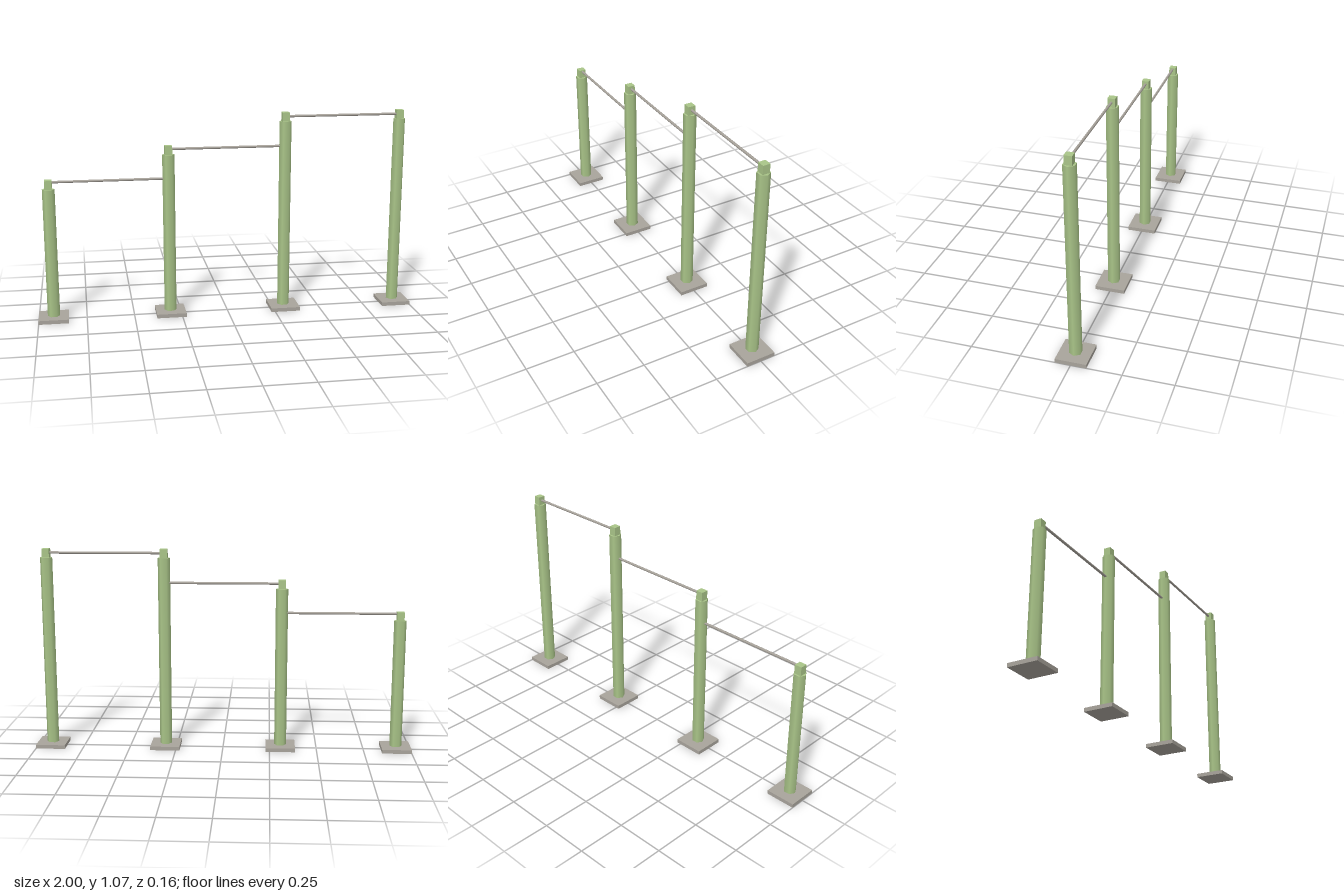
import * as THREE from 'three';

export function createModel() {
  const model = new THREE.Group();
  const green = new THREE.MeshStandardMaterial({ color: 0xa9c488 });
  green.name = 'paleGreen';
  const grey = new THREE.MeshStandardMaterial({ color: 0xa8a39b });
  grey.name = 'warmGrey';

  const baseSize = 0.156, baseHeight = 0.02, postRadius = 0.032, capSize = 0.038;
  const spots = [-0.922, -0.307, 0.307, 0.922];
  const postTops = [0.699, 0.861, 1.019, 1.019];
  const railHeights = [0.735, 0.889, 1.044];

  const add = (parent, name, geometry, material, x, y) => {
    const mesh = new THREE.Mesh(geometry, material);
    mesh.name = name;
    mesh.position.set(x, y, 0);
    parent.add(mesh);
    return mesh;
  };

  // Four uprights: foot plate, six-sided post with corners on +x and -x, square cap
  spots.forEach((x, i) => {
    const upright = new THREE.Group();
    upright.name = `upright${i + 1}`;
    upright.position.x = x;
    model.add(upright);
    const top = postTops[i], height = top - baseHeight, capHeight = 0.046;
    add(upright, 'footPlate', new THREE.BoxGeometry(baseSize, baseHeight, baseSize), grey, 0, baseHeight / 2);
    add(upright, 'post',
      new THREE.CylinderGeometry(postRadius, postRadius, height, 6, 1, false, Math.PI / 2),
      green, 0, baseHeight + height / 2);
    add(upright, 'cap', new THREE.BoxGeometry(capSize, capHeight, capSize), green, 0, top + capHeight / 2);
  });

  // Rails run level from each upright's cap to the next upright
  railHeights.forEach((y, i) => {
    const length = spots[i + 1] - spots[i];
    const rail = add(model, `rail${i + 1}`, new THREE.CylinderGeometry(0.0065, 0.0065, length, 8),
      grey, (spots[i] + spots[i + 1]) / 2, y);
    rail.rotation.z = Math.PI / 2;
  });

  return model;
}
